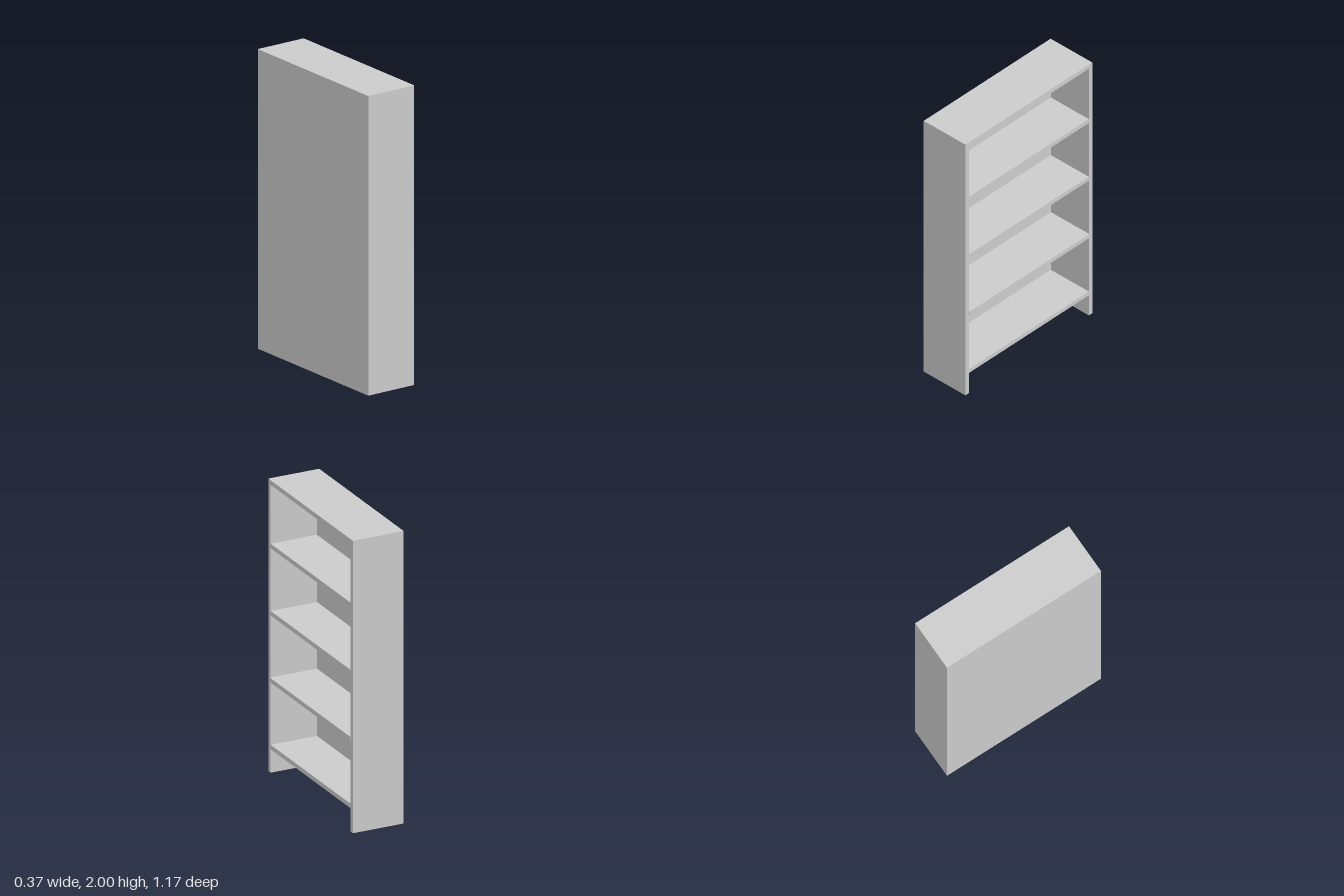
import * as THREE from 'three';

// Open bookcase: the shelves face +x, the back panel is on -x.
export function createModel() {
  const group = new THREE.Group();
  group.name = 'bookcase';
  const material = new THREE.MeshStandardMaterial({ color: 0xcccccc, flatShading: true });

  const BACK = -0.184, FRONT = 0.178, HALF = 0.587, T = 0.032;
  const INNER = HALF - T, HEIGHT = 2;

  // Board given by its lower and upper limits on each axis
  function board(name, [x0, x1], [y0, y1], [z0, z1]) {
    const mesh = new THREE.Mesh(new THREE.BoxGeometry(x1 - x0, y1 - y0, z1 - z0), material);
    mesh.position.set((x0 + x1) / 2, (y0 + y1) / 2, (z0 + z1) / 2);
    mesh.name = name;
    group.add(mesh);
  }

  // Carcass: two sides, back and top
  board('leftSide', [BACK, FRONT], [0, HEIGHT], [INNER, HALF]);
  board('rightSide', [BACK, FRONT], [0, HEIGHT], [-HALF, -INNER]);
  board('backPanel', [BACK, BACK + T], [0, HEIGHT], [-INNER, INNER]);
  board('topPanel', [BACK + T, FRONT], [HEIGHT - T, HEIGHT], [-INNER, INNER]);

  // Shelves by underside height; one stands slightly proud of the front
  [[0.16, 0], [0.62, 0.005], [1.075, 0], [1.535, 0]].forEach(([y, proud], i) => {
    board(`shelf${i + 1}`, [BACK + T, FRONT + proud], [y, y + 0.031], [-INNER, INNER]);
  });

  return group;
}
